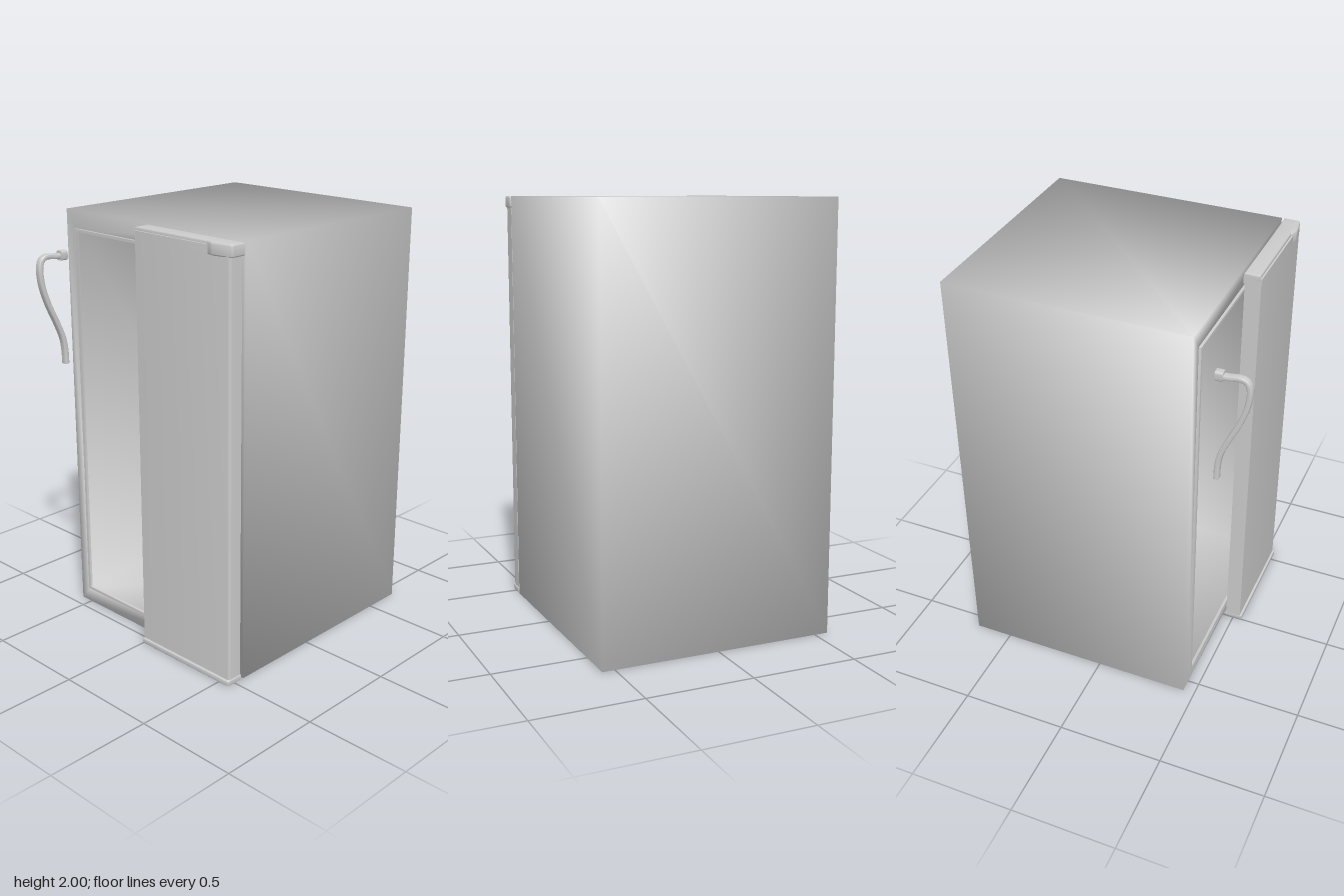
import * as THREE from 'three';
import { toCreasedNormals } from 'three/addons/utils/BufferGeometryUtils.js';

const material = new THREE.MeshStandardMaterial({ color: 0xcccccc, side: THREE.DoubleSide });

function addMesh(group, name, geometry) {
  const mesh = new THREE.Mesh(geometry, material);
  mesh.name = name;
  group.add(mesh);
  return mesh;
}

// Rectangle with rounded corners, usable as shape or hole
function roundedRect(x0, y0, x1, y1, r, Type = THREE.Shape) {
  const s = new Type();
  s.moveTo(x0 + r, y0).lineTo(x1 - r, y0).quadraticCurveTo(x1, y0, x1, y0 + r);
  s.lineTo(x1, y1 - r).quadraticCurveTo(x1, y1, x1 - r, y1);
  s.lineTo(x0 + r, y1).quadraticCurveTo(x0, y1, x0, y1 - r);
  s.lineTo(x0, y0 + r).quadraticCurveTo(x0, y0, x0 + r, y0);
  return s;
}

// Floor-plan slab: outline in x/z, standing from y0 to y1, optional bevel
function slab(shape, y0, y1, bevel = 0) {
  const geometry = new THREE.ExtrudeGeometry(shape, {
    depth: y1 - y0 - 2 * bevel, curveSegments: 8,
    bevelEnabled: bevel > 0, bevelSize: bevel, bevelOffset: -bevel,
    bevelThickness: bevel, bevelSegments: 3,
  });
  geometry.rotateX(Math.PI / 2).translate(0, y1 - bevel, 0);
  return toCreasedNormals(geometry, 0.6);
}

// Plan of the door: square at the cut end, rounded at the hinge edge
function doorPlan(z0, z1, x1, r) {
  const s = new THREE.Shape();
  s.moveTo(0, z0).lineTo(x1, z0).lineTo(x1, z1 - r);
  s.quadraticCurveTo(x1, z1, x1 - r, z1).lineTo(0, z1);
  return s;
}

// Hollow cabinet: four-cornered rings run around the outside and into the cavity
function cabinetGeometry() {
  const rings = [ // x0, y0, x1, y1, z
    [-0.565, 0.005, 0.56, 2, -0.68],
    [-0.565, 0.005, 0.56, 2, 0.445],
    [-0.49, 0.09, 0.485, 1.91, 0.445],
    [-0.49, 0.09, 0.485, 1.91, -0.6],
  ];
  const positions = [];
  const index = [2, 1, 0, 3, 2, 0];
  rings.forEach(([x0, y0, x1, y1, z], k) => {
    positions.push(x0, y0, z, x1, y0, z, x1, y1, z, x0, y1, z);
    if (k === 0) return;
    for (let i = 0; i < 4; i++) {
      const a = (k - 1) * 4 + i, b = (k - 1) * 4 + (i + 1) % 4;
      index.push(a, b, b + 4, a, b + 4, a + 4);
    }
  });
  index.push(12, 13, 14, 12, 14, 15);
  const geometry = new THREE.BufferGeometry();
  geometry.setAttribute('position', new THREE.Float32BufferAttribute(positions, 3));
  geometry.setIndex(index);
  geometry.computeVertexNormals();
  return geometry;
}

export function createModel() {
  const model = new THREE.Group();
  model.name = 'refrigerator';

  addMesh(model, 'cabinet', cabinetGeometry());

  // Thin seal around the opening
  const seal = roundedRect(-0.5, 0.083, 0.49, 1.917, 0.004);
  seal.holes.push(roundedRect(-0.487, 0.096, 0.48, 1.904, 0.004, THREE.Path));
  const sealGeometry = new THREE.ExtrudeGeometry(seal, { depth: 0.013, bevelEnabled: false, curveSegments: 2 });
  addMesh(model, 'doorSeal', toCreasedNormals(sealGeometry.translate(0, 0, 0.444), 0.6));

  // Half-width door with end caps
  const door = new THREE.Group();
  door.name = 'door';
  model.add(door);
  addMesh(door, 'doorPanel', slab(doorPlan(0.462, 0.535, 0.556, 0.015), 0.02, 1.96));
  addMesh(door, 'bottomCap', slab(doorPlan(0.458, 0.545, 0.56, 0.02), 0.004, 0.03, 0.004));
  addMesh(door, 'topCap', slab(doorPlan(0.456, 0.538, 0.5, 0.005), 1.95, 1.985));
  addMesh(door, 'topCapRidge', slab(doorPlan(0.458, 0.53, 0.5, 0.005), 1.97, 2, 0.005));

  // Thicker hinge cover at the outer end of the top cap
  const hinge = new THREE.Shape();
  hinge.moveTo(0.43, 0.456).lineTo(0.565, 0.456).lineTo(0.565, 0.518);
  hinge.quadraticCurveTo(0.565, 0.531, 0.55, 0.534).lineTo(0.475, 0.545);
  hinge.quadraticCurveTo(0.46, 0.547, 0.452, 0.542).lineTo(0.43, 0.536);
  addMesh(door, 'hingeCover', slab(hinge, 1.945, 2, 0.007));

  // Curved handle: flattened round section swept down a path in the y/z plane
  const path = new THREE.CatmullRomCurve3([
    [1.805, 0.53], [1.808, 0.58], [1.813, 0.625], [1.805, 0.652], [1.775, 0.666],
    [1.7, 0.663], [1.6, 0.633], [1.5, 0.587], [1.42, 0.555], [1.36, 0.545], [1.295, 0.543],
  ].map(([y, z]) => new THREE.Vector3(-0.498, y, z)));
  const grip = new THREE.ExtrudeGeometry(roundedRect(-0.017, -0.012, 0.017, 0.012, 0.009), {
    steps: 48, curveSegments: 4, extrudePath: path,
  });
  addMesh(model, 'handle', toCreasedNormals(grip, 0.7));

  // Mount where the handle's upper end meets the door
  const mount = new THREE.ExtrudeGeometry(roundedRect(-0.515, 1.785, -0.477, 1.83, 0.012), {
    depth: 0.035, bevelEnabled: false, curveSegments: 5,
  });
  addMesh(model, 'handleMount', toCreasedNormals(mount.translate(0, 0, 0.52), 0.6));

  return model;
}
